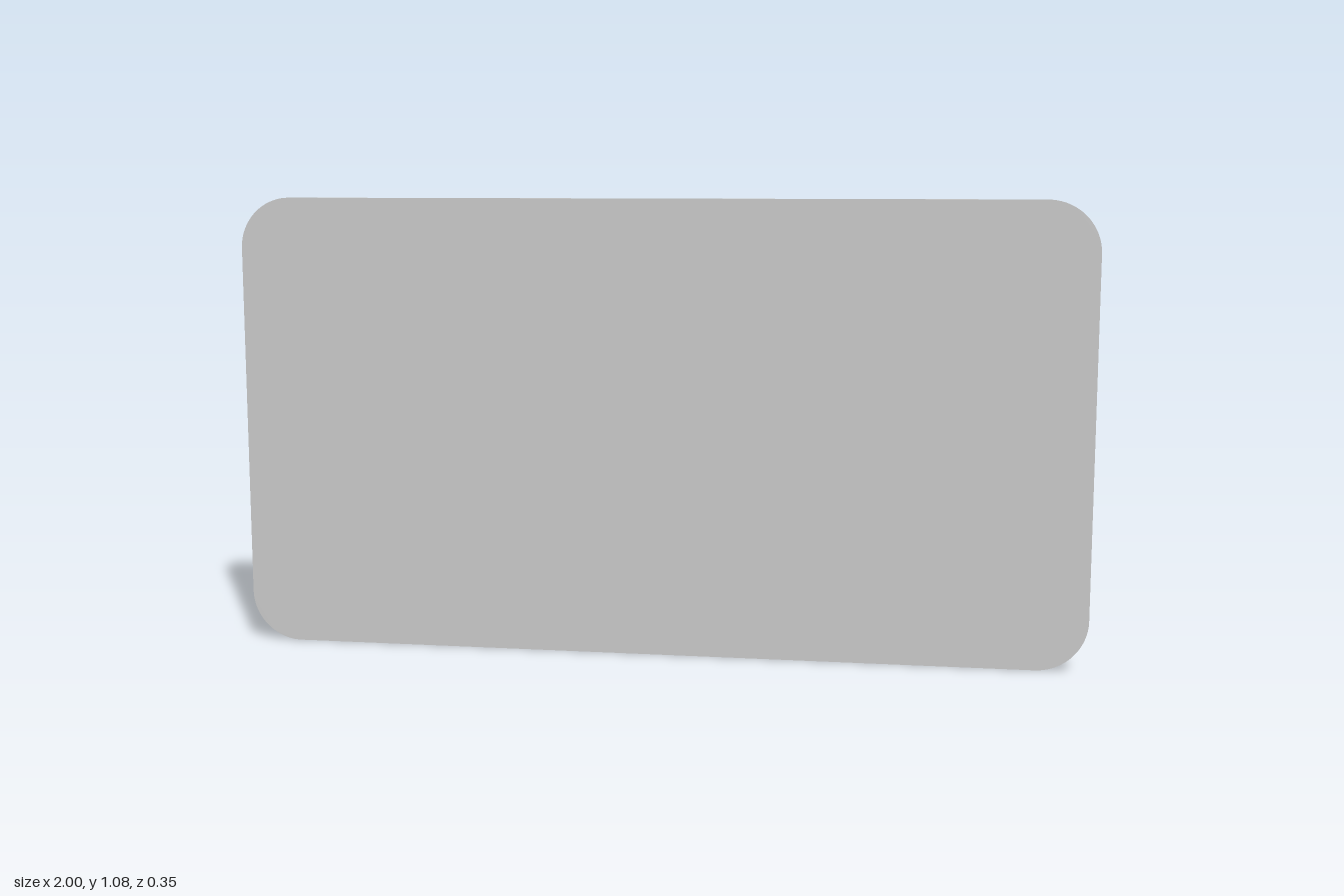
import * as THREE from 'three';
import { toCreasedNormals } from 'three/addons/utils/BufferGeometryUtils.js';

const H = 1.075, BACK = -0.175, FRONT = 0.175, THICK = 0.018;
const material = new THREE.MeshStandardMaterial({ color: 0xcccccc });

// Flat plate with rounded corners
function plateGeometry() {
  const r = 0.12, s = new THREE.Shape();
  s.absarc(1 - r, r, r, -Math.PI / 2, 0);
  s.absarc(1 - r, H - r, r, 0, Math.PI / 2);
  s.absarc(r - 1, H - r, r, Math.PI / 2, Math.PI);
  s.absarc(r - 1, r, r, Math.PI, Math.PI * 1.5);
  s.closePath();
  const g = new THREE.ExtrudeGeometry(s, { depth: THICK, bevelEnabled: false, curveSegments: 16 });
  g.translate(0, 0, FRONT - THICK);
  return toCreasedNormals(g, 0.4);
}

// Tapered rounded block whose rear end is scooped by a horizontal cylinder
function supportGeometry() {
  const base = { hx: 0.071, hy: 0.388, r: 0.04, z: FRONT - THICK };
  const tip = { hx: 0.055, hy: 0.315, r: 0.035, z: BACK };
  const chord = 0.24, sag = 0.057;
  const R = (chord * chord + sag * sag) / (2 * sag);
  const endZ = y => Math.abs(y) < chord ? BACK + sag - R + Math.sqrt(R * R - y * y) : BACK;
  const widthAt = z => THREE.MathUtils.mapLinear(z, base.z, tip.z, base.hx, tip.hx);

  // Rows from top to bottom, each with a base and a tip point on the +x side
  const rows = [];
  const corner = (e, a, sign) => new THREE.Vector3(
    e.hx - e.r + e.r * Math.cos(a), sign * (e.hy - e.r + e.r * Math.sin(a)), e.z);
  const N = 8, M = 32;
  for (let i = 0; i <= N; i++) {
    const a = Math.PI / 2 * (1 - i / N);
    rows.push([corner(base, a, 1), corner(tip, a, 1)]);
  }
  const stretch = (base.hy - base.r) / (tip.hy - tip.r);
  for (let i = 0; i <= M; i++) {
    const y = chord * (1 - 2 * i / M), z = endZ(y);
    rows.push([new THREE.Vector3(base.hx, y * stretch, base.z), new THREE.Vector3(widthAt(z), y, z)]);
  }
  for (let i = 0; i <= N; i++) {
    const a = Math.PI / 2 * i / N;
    rows.push([corner(base, a, -1), corner(tip, a, -1)]);
  }

  const pos = [];
  const quad = (a, b, c, d) => [a, b, c, a, c, d].forEach(p => pos.push(p.x, p.y, p.z));
  const flip = p => new THREE.Vector3(-p.x, p.y, p.z);
  const mirrored = rows.map(row => row.map(flip));

  // Outer wall
  const ring = [...rows, ...[...mirrored].reverse()];
  ring.forEach(([b, t], i) => {
    const [b2, t2] = ring[(i + 1) % ring.length];
    quad(b, b2, t2, t);
  });
  // Scooped end
  for (let i = 0; i < rows.length - 1; i++) {
    quad(rows[i][1], rows[i + 1][1], mirrored[i + 1][1], mirrored[i][1]);
  }
  const g = new THREE.BufferGeometry();
  g.setAttribute('position', new THREE.Float32BufferAttribute(pos, 3));
  return toCreasedNormals(g, 0.35);
}

export function createModel() {
  const group = new THREE.Group();
  const plate = new THREE.Mesh(plateGeometry(), material);
  plate.name = 'plate';
  group.add(plate);

  const geometry = supportGeometry();
  for (const [name, side] of [['leftSupport', 1], ['rightSupport', -1]]) {
    const support = new THREE.Mesh(geometry, material);
    support.name = name;
    support.position.set(side * 0.705, H / 2, 0);
    group.add(support);
  }
  return group;
}
